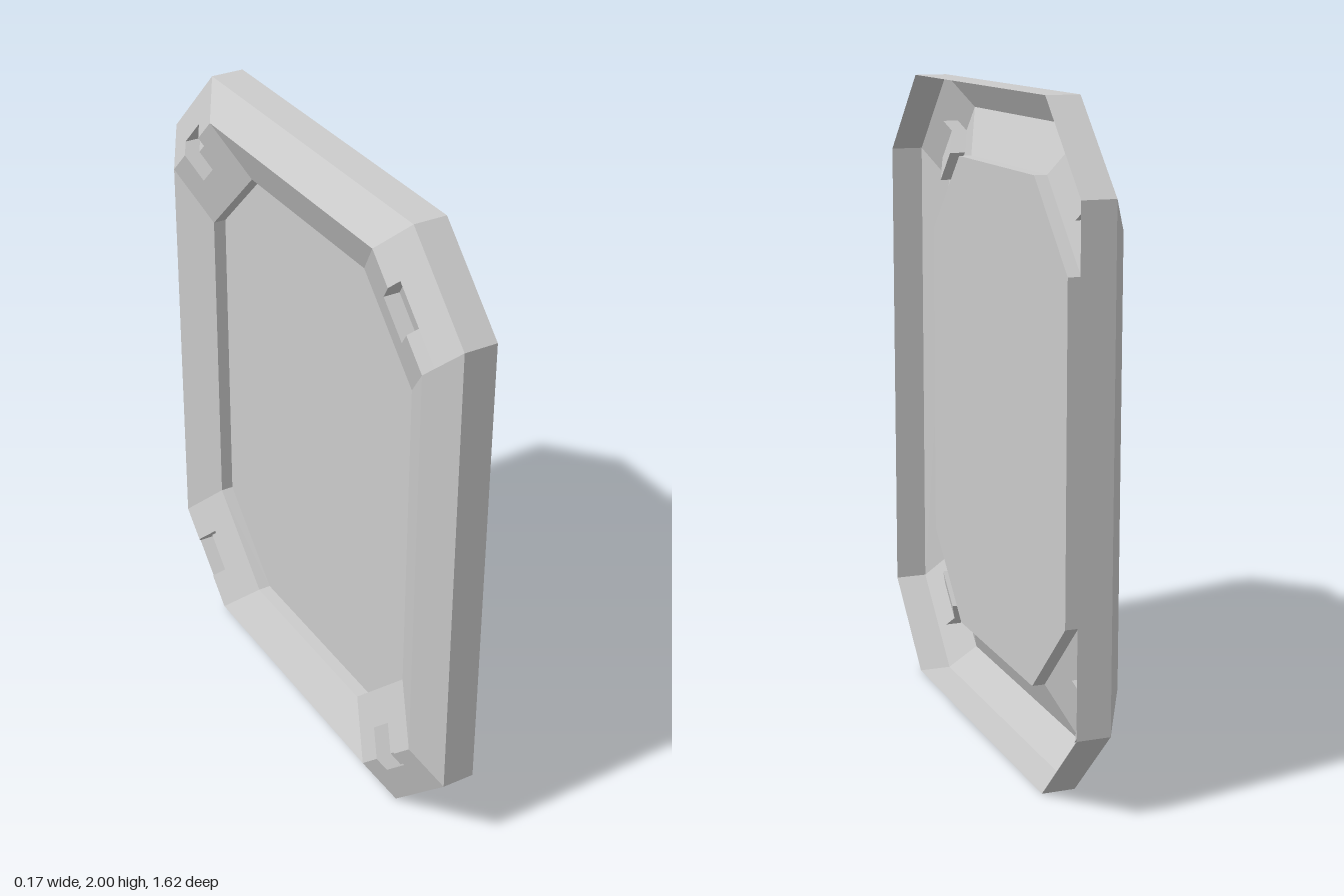
import * as THREE from 'three';

const material = new THREE.MeshStandardMaterial({
  color: 0xcccccc, flatShading: true, side: THREE.DoubleSide,
});

// The plate lies in the zy plane. In each quadrant a corner point is given by
// t = z + y (distance outwards) and d = z - y (position along the chamfer).
const D0 = -0.4425, D1 = 0.0675;             // ends of every chamfer
const SLOT0 = -0.2825, SLOT1 = -0.0925;      // ends of the corner pocket
const OUTER = 1.5575, CREST = 1.36, INNER = 1.08;
const SLOT_OUT = 1.42, SLOT_IN = 1.23;
const BACK = 0.0825, EDGE = -0.02, TOP = -0.0825, FLOOR = 0.02;
const POCKET_DEPTH = 0.05;

// Height of the rim surface: slopes up to the crest, then down again
function surfaceX(t) {
  const k = t > CREST ? (OUTER - t) / (OUTER - CREST) : (t - INNER) / (CREST - INNER);
  return THREE.MathUtils.lerp(EDGE, TOP, k);
}

const corner = (d, t, x) => [x, (t - d) / 2, (t + d) / 2];

// Eight-sided loop, counter-clockwise as seen from -x; even segments are chamfers
function ring(t, x) {
  const loop = [];
  for (const [sy, sz] of [[1, 1], [1, -1], [-1, -1], [-1, 1]]) {
    const ends = sy * sz > 0 ? [D1, D0] : [D0, D1];
    for (const d of ends) {
      const p = corner(d, t, x);
      loop.push([p[0], p[1] * sy, p[2] * sz]);
    }
  }
  return loop;
}

// Quads between two closed loops, optionally leaving the chamfers open
function band(a, b, skipChamfers = false) {
  const quads = [];
  for (let i = 0; i < a.length; i++) {
    if (skipChamfers && i % 2 === 0) continue;
    const j = (i + 1) % a.length;
    quads.push([a[i], a[j], b[j], b[i]]);
  }
  return quads;
}

// Same quads in another quadrant, keeping their facing
function mirror(quads, sy, sz) {
  return quads.map((q) => {
    const m = q.map(([x, y, z]) => [x, y * sy, z * sz]);
    return sy * sz < 0 ? m.reverse() : m;
  });
}

function addMesh(parent, name, quads) {
  const positions = quads.flatMap(([a, b, c, d]) => [a, b, c, a, c, d]).flat();
  const geometry = new THREE.BufferGeometry();
  geometry.setAttribute('position', new THREE.Float32BufferAttribute(positions, 3));
  geometry.computeVertexNormals();
  const mesh = new THREE.Mesh(geometry, material);
  mesh.name = name;
  parent.add(mesh);
}

// Patch of the chamfer between two d and two t values, sunk by drop
function patch(d0, d1, tOut, tIn, drop = 0) {
  const p = (d, t) => corner(d, t, surfaceX(t) + drop);
  return [p(d1, tOut), p(d0, tOut), p(d0, tIn), p(d1, tIn)];
}

// Chamfer surface with a square opening across the crest
function cornerPlate() {
  const ds = [D0, SLOT0, SLOT1, D1];
  const ts = [OUTER, SLOT_OUT, CREST, SLOT_IN, INNER];
  const quads = [];
  for (let i = 0; i < 3; i++) {
    for (let j = 0; j < 4; j++) {
      const open = i === 1 && (j === 1 || j === 2);
      if (!open) quads.push(patch(ds[i], ds[i + 1], ts[j], ts[j + 1]));
    }
  }
  return quads;
}

// Sunken pocket whose floor follows the bend of the rim
function cornerPocket() {
  const outline = [
    [SLOT1, SLOT_OUT], [SLOT0, SLOT_OUT], [SLOT0, CREST],
    [SLOT0, SLOT_IN], [SLOT1, SLOT_IN], [SLOT1, CREST],
  ];
  const loop = (drop) => outline.map(([d, t]) => corner(d, t, surfaceX(t) + drop));
  return [
    ...band(loop(0), loop(POCKET_DEPTH)),
    patch(SLOT0, SLOT1, SLOT_OUT, CREST, POCKET_DEPTH),
    patch(SLOT0, SLOT1, CREST, SLOT_IN, POCKET_DEPTH),
  ];
}

export function createModel() {
  const model = new THREE.Group();
  model.name = 'framedPlate';

  // Open-backed shell, from the outer rim inwards
  addMesh(model, 'outerWall', band(ring(OUTER, BACK), ring(OUTER, EDGE)));
  addMesh(model, 'outerBevel', band(ring(OUTER, EDGE), ring(CREST, TOP), true));
  addMesh(model, 'innerBevel', band(ring(CREST, TOP), ring(INNER, EDGE), true));
  addMesh(model, 'panelWall', band(ring(INNER, EDGE), ring(INNER, FLOOR)));

  // Recessed panel: a middle block and two tapered ends
  const p = ring(INNER, FLOOR);
  addMesh(model, 'panel', [
    [p[0], p[1], p[2], p[3]],
    [p[0], p[3], p[4], p[7]],
    [p[4], p[5], p[6], p[7]],
  ]);

  // Four corners
  for (const sy of [1, -1]) {
    for (const sz of [1, -1]) {
      const group = new THREE.Group();
      group.name = (sy > 0 ? 'top' : 'bottom') + (sz > 0 ? 'Front' : 'Back') + 'Corner';
      addMesh(group, 'cornerPlate', mirror(cornerPlate(), sy, sz));
      addMesh(group, 'cornerPocket', mirror(cornerPocket(), sy, sz));
      model.add(group);
    }
  }

  model.position.y = 1;
  return model;
}
